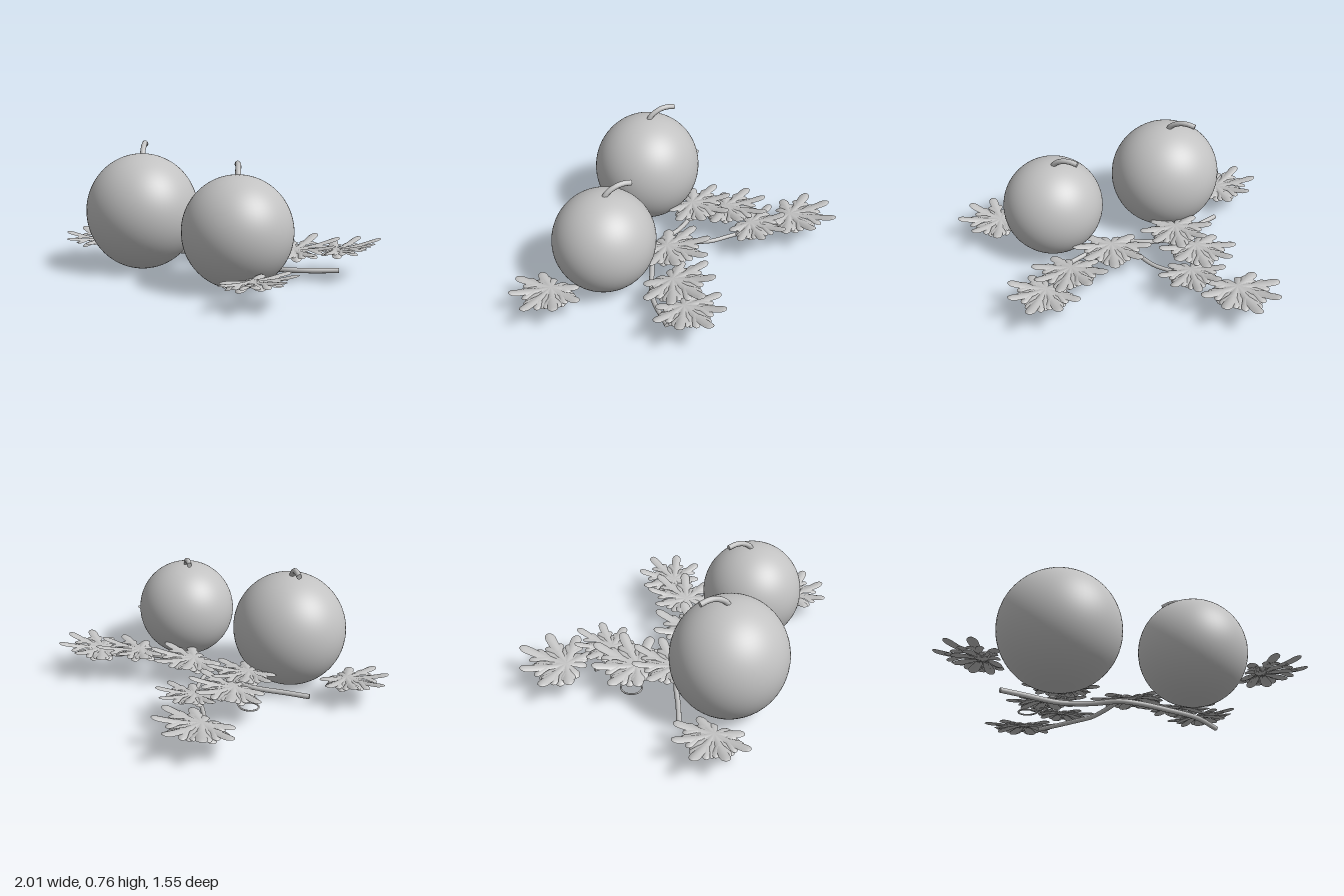
import * as THREE from 'three';
import { mergeGeometries } from 'three/addons/utils/BufferGeometryUtils.js';

const clay = new THREE.MeshStandardMaterial({ color: 0xc2c2c2, side: THREE.DoubleSide });
clay.name = 'clay grey';

const V = (p) => new THREE.Vector3(...p);
const rad = THREE.MathUtils.degToRad;

// Round tube through points, closed with flat ends
function cappedTube(name, points, radius, segments = 48) {
  const curve = new THREE.CatmullRomCurve3(points.map(V));
  const parts = [new THREE.TubeGeometry(curve, segments, radius, 12)];
  for (const t of [0, 1]) {
    const dir = curve.getTangent(t).multiplyScalar(t ? 1 : -1);
    const cap = new THREE.CircleGeometry(radius, 12);
    cap.applyQuaternion(new THREE.Quaternion().setFromUnitVectors(V([0, 0, 1]), dir));
    const end = curve.getPoint(t);
    parts.push(cap.translate(end.x, end.y, end.z));
  }
  const mesh = new THREE.Mesh(mergeGeometries(parts), clay);
  mesh.name = name;
  return mesh;
}

// Melon with a bent stalk on top
function melon(name, center, radii, stalk) {
  const g = new THREE.Group();
  g.name = name;
  const body = new THREE.Mesh(new THREE.SphereGeometry(1, 64, 40), clay);
  body.name = name + 'Body';
  body.position.set(...center);
  body.scale.set(...radii);
  g.add(body, cappedTube(name + 'Stalk', stalk, 0.016));
  return g;
}

// One finger of a leaf: a pillowed strip pointing to -z with a round tip
function leafLobe(length, rise, tipWidth = 0.032) {
  const rows = 14, cols = 6, pos = [], index = [];
  for (let i = 0; i <= rows; i++) {
    const t = 1 - (1 - i / rows) ** 1.5;
    const swell = 0.022 + (tipWidth - 0.022) * THREE.MathUtils.smoothstep(t, 0.25, 0.82);
    const fromTip = Math.min(1, (1 - t) * length / (tipWidth * 1.3));
    const w = swell * Math.sqrt(1 - (1 - fromTip) ** 2);
    for (let j = 0; j <= cols; j++) {
      const u = (j / cols) * 2 - 1;
      pos.push(w * u, rise * t * t + 0.35 * w * (1 - u * u), -length * t);
    }
  }
  for (let i = 0; i < rows; i++) {
    for (let j = 0; j < cols; j++) {
      const a = i * (cols + 1) + j, c = a + cols + 1;
      index.push(a, a + 1, c, a + 1, c + 1, c);
    }
  }
  const geo = new THREE.BufferGeometry();
  geo.setAttribute('position', new THREE.Float32BufferAttribute(pos, 3));
  geo.setIndex(index);
  geo.computeVertexNormals();
  return geo;
}

// A long finger with a pair of small side fingers
function branchedLobe(length, rise) {
  const parts = [leafLobe(length, rise)];
  for (const side of [-1, 1]) {
    parts.push(leafLobe(length * 0.36, -0.01, 0.024).rotateY(side * 0.5)
      .translate(0, rise * 0.2, -length * 0.4));
  }
  return mergeGeometries(parts);
}

// Deeply cut leaf: long and short fingers fanned around the base
function leafGeometry() {
  const lobes = [branchedLobe(0.3, 0.035)];
  const long = [[40, 0.27, 0.035], [80, 0.25, 0.02], [122, 0.18, 0.0]];
  const short = [[20, 0.19, -0.015], [61, 0.18, -0.025], [102, 0.16, -0.03], [150, 0.12, -0.02]];
  for (const side of [-1, 1]) {
    for (const [a, length, rise] of long) lobes.push(branchedLobe(length, rise).rotateY(side * rad(a)));
    for (const [a, length, rise] of short) lobes.push(leafLobe(length, rise).rotateY(side * rad(a)));
  }
  return mergeGeometries(lobes);
}

export function createModel() {
  const model = new THREE.Group();
  model.name = 'melonPatch';

  // Fruit
  model.add(
    melon('largeMelon', [-0.348, 0.349, 0.449], [0.344, 0.345, 0.33],
      [[-0.35, 0.66, 0.445], [-0.375, 0.71, 0.425], [-0.42, 0.742, 0.39], [-0.46, 0.747, 0.362], [-0.5, 0.738, 0.335]]),
    melon('smallMelon', [0.402, 0.313, 0.292], [0.308, 0.308, 0.302],
      [[0.4, 0.59, 0.287], [0.375, 0.635, 0.268], [0.335, 0.662, 0.238], [0.295, 0.668, 0.212], [0.255, 0.66, 0.185]]));

  // Vines on the ground
  model.add(
    cappedTube('mainVine', [[-0.66, 0.057, 0.29], [-0.54, 0.057, 0.23], [-0.33, 0.06, 0.12], [-0.16, 0.062, 0.115],
      [0.0, 0.062, 0.16], [0.12, 0.062, 0.13], [0.27, 0.062, 0.055], [0.47, 0.065, -0.07], [0.62, 0.067, -0.25]], 0.015, 80),
    cappedTube('sideVine', [[-0.01, 0.065, 0.15], [-0.03, 0.07, 0.09], [-0.08, 0.07, -0.01], [-0.15, 0.07, -0.12],
      [-0.25, 0.07, -0.2], [-0.46, 0.07, -0.355]], 0.013, 60));

  // Curled tendril
  const coil = [];
  for (let i = 0; i <= 24; i++) {
    const a = (i / 24) * Math.PI * 2.3, r = 0.065 - 0.0006 * i;
    coil.push([-0.52 + r * Math.cos(a), 0.062 + 0.0012 * i, -0.08 + r * Math.sin(a)]);
  }
  model.add(cappedTube('tendril', coil, 0.005, 80));

  // Leaves: base position, heading in degrees from -z toward +x, scale, pitch, roll
  const leaves = [
    [[-0.565, 0.14, -0.48], -6, 1.0, 0.08, 0.04],
    [[-0.33, 0.165, -0.31], 4, 0.82, 0.08, -0.06],
    [[-0.42, 0.16, -0.09], 2, 0.98, 0.1, 0.06],
    [[-0.34, 0.165, 0.11], 5, 0.92, 0.06, -0.04],
    [[-0.735, 0.127, 0.53], -88, 0.9, 0.05, 0.02],
    [[0.735, 0.127, 0.45], 90, 0.9, 0.05, -0.02],
    [[0.08, 0.125, 0.06], 6, 1.0, 0.09, 0.04],
    [[0.36, 0.155, -0.14], 22, 0.95, 0.09, -0.06],
    [[0.53, 0.165, -0.31], 28, 0.9, 0.09, 0.04],
  ];
  const geo = leafGeometry();
  leaves.forEach(([p, heading, scale, pitch, roll], i) => {
    const leaf = new THREE.Mesh(geo, clay);
    leaf.name = 'leaf' + (i + 1);
    leaf.position.set(...p);
    leaf.rotation.set(pitch, -rad(heading), roll, 'YXZ');
    leaf.scale.setScalar(scale);
    model.add(leaf);
  });
  return model;
}
